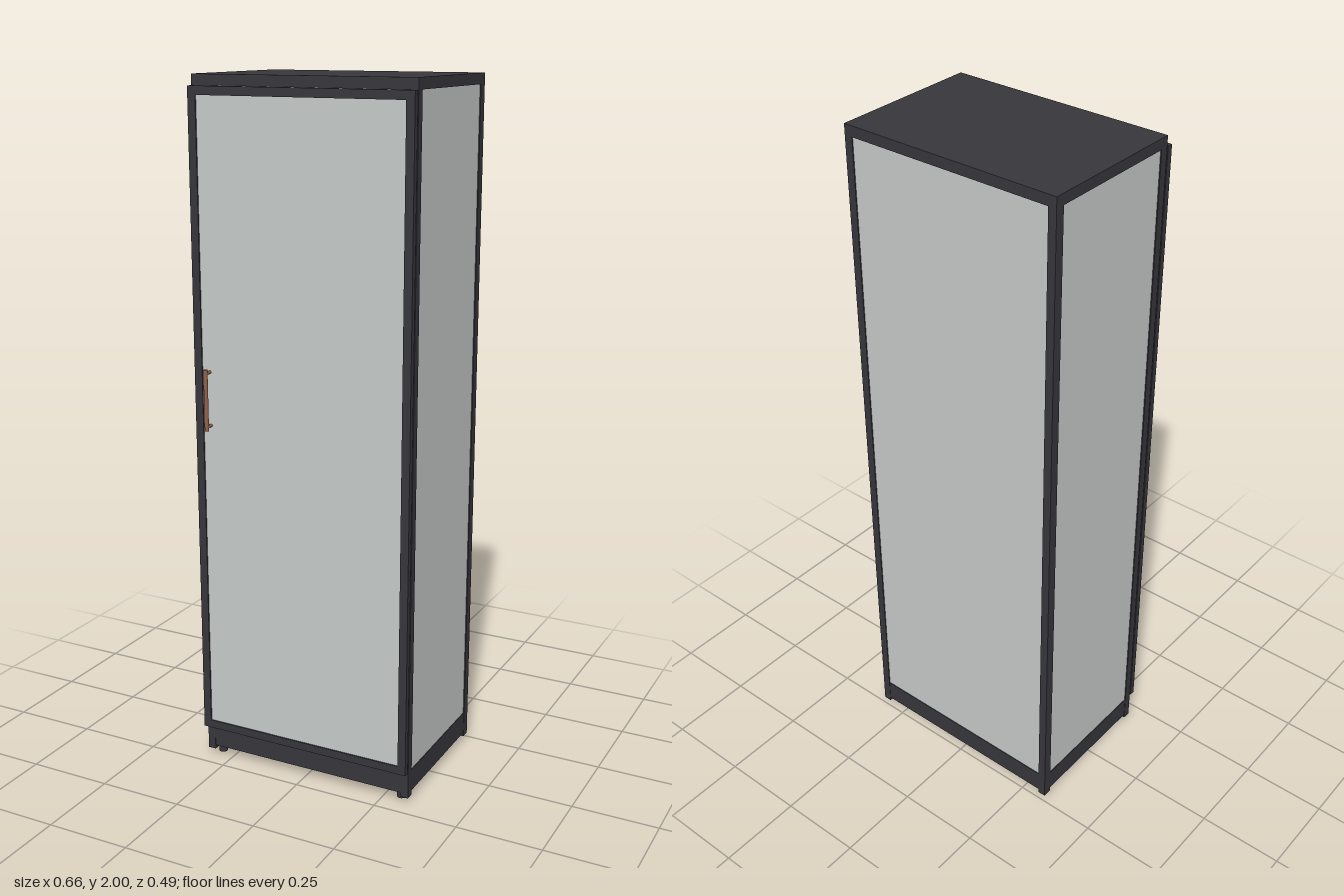
import * as THREE from 'three';

const frameMat = new THREE.MeshStandardMaterial({ color: 0x37363c });
frameMat.name = 'charcoal';
const panelMat = new THREE.MeshStandardMaterial({ color: 0xc6cac8 });
panelMat.name = 'paleGreyGlass';
const handleMat = new THREE.MeshStandardMaterial({ color: 0x94604a });
handleMat.name = 'copper';

// Box given by its lower and upper limits on each axis
function box(parent, name, mat, [x0, x1], [y0, y1], [z0, z1]) {
  const mesh = new THREE.Mesh(new THREE.BoxGeometry(x1 - x0, y1 - y0, z1 - z0), mat);
  mesh.position.set((x0 + x1) / 2, (y0 + y1) / 2, (z0 + z1) / 2);
  mesh.name = name;
  parent.add(mesh);
  return mesh;
}

function cylinder(parent, name, mat, radius, height, x, y, z) {
  const mesh = new THREE.Mesh(new THREE.CylinderGeometry(radius, radius, height, 16), mat);
  mesh.position.set(x, y, z);
  mesh.name = name;
  parent.add(mesh);
  return mesh;
}

export function createModel() {
  const model = new THREE.Group();
  model.name = 'cabinet';

  const W = 0.331, BACK = -0.244, FRONT = 0.198, POST = 0.024;
  const PANEL_Y = [0.095, 1.97];

  // Carcass: corner posts, plinth and top
  const carcass = new THREE.Group();
  carcass.name = 'carcass';
  model.add(carcass);
  for (const s of [-1, 1]) {
    const side = s < 0 ? 'right' : 'left';
    const px = s < 0 ? [-W, -W + POST] : [W - POST, W];
    box(carcass, side + 'FrontPost', frameMat, px, [0.016, 1.97], [FRONT - POST, FRONT]);
    box(carcass, side + 'BackPost', frameMat, px, [0.016, 1.97], [BACK, BACK + POST + 0.003]);
    // Side panel, slightly recessed between the posts
    const gx = s < 0 ? [-W + 0.003, -W + 0.011] : [W - 0.011, W - 0.003];
    box(carcass, side + 'Panel', panelMat, gx, PANEL_Y, [BACK + POST, FRONT - POST]);
    // Feet just inside the posts
    for (const z of [0.168, -0.208]) {
      cylinder(carcass, side + (z > 0 ? 'FrontFoot' : 'BackFoot'), frameMat, 0.013, 0.034, s * 0.298, 0.017, z);
    }
  }
  box(carcass, 'plinth', frameMat, [-W + 0.001, W - 0.001], [0.028, 0.095], [BACK + 0.001, FRONT - 0.001]);
  box(carcass, 'top', frameMat, [-W, W], [1.97, 2], [BACK, FRONT]);
  box(carcass, 'backPanel', panelMat, [-W + POST, W - POST], PANEL_Y, [BACK + 0.003, BACK + 0.011]);

  // Door: frame and infill panel
  const door = new THREE.Group();
  door.name = 'door';
  model.add(door);
  const doorZ = [0.202, 0.219];
  box(door, 'doorRightStile', frameMat, [-W, -W + POST], [0.097, 1.97], doorZ);
  box(door, 'doorLeftStile', frameMat, [W - POST, W], [0.097, 1.97], doorZ);
  box(door, 'doorBottomRail', frameMat, [-W + POST, W - POST], [0.097, 0.121], doorZ);
  box(door, 'doorTopRail', frameMat, [-W + POST, W - POST], [1.946, 1.97], doorZ);
  box(door, 'doorPanel', panelMat, [-W + POST, W - POST], [0.121, 1.946], [0.207, 0.215]);

  // Handle: upright bar on two standoffs
  const handle = new THREE.Group();
  handle.name = 'handle';
  door.add(handle);
  const hx = -0.284;
  cylinder(handle, 'handleBar', handleMat, 0.006, 0.176, hx, 1.117, 0.238);
  for (const y of [1.04, 1.194]) {
    cylinder(handle, 'handleStandoff', handleMat, 0.0045, 0.024, hx, y, 0.226).rotation.x = Math.PI / 2;
  }
  return model;
}
